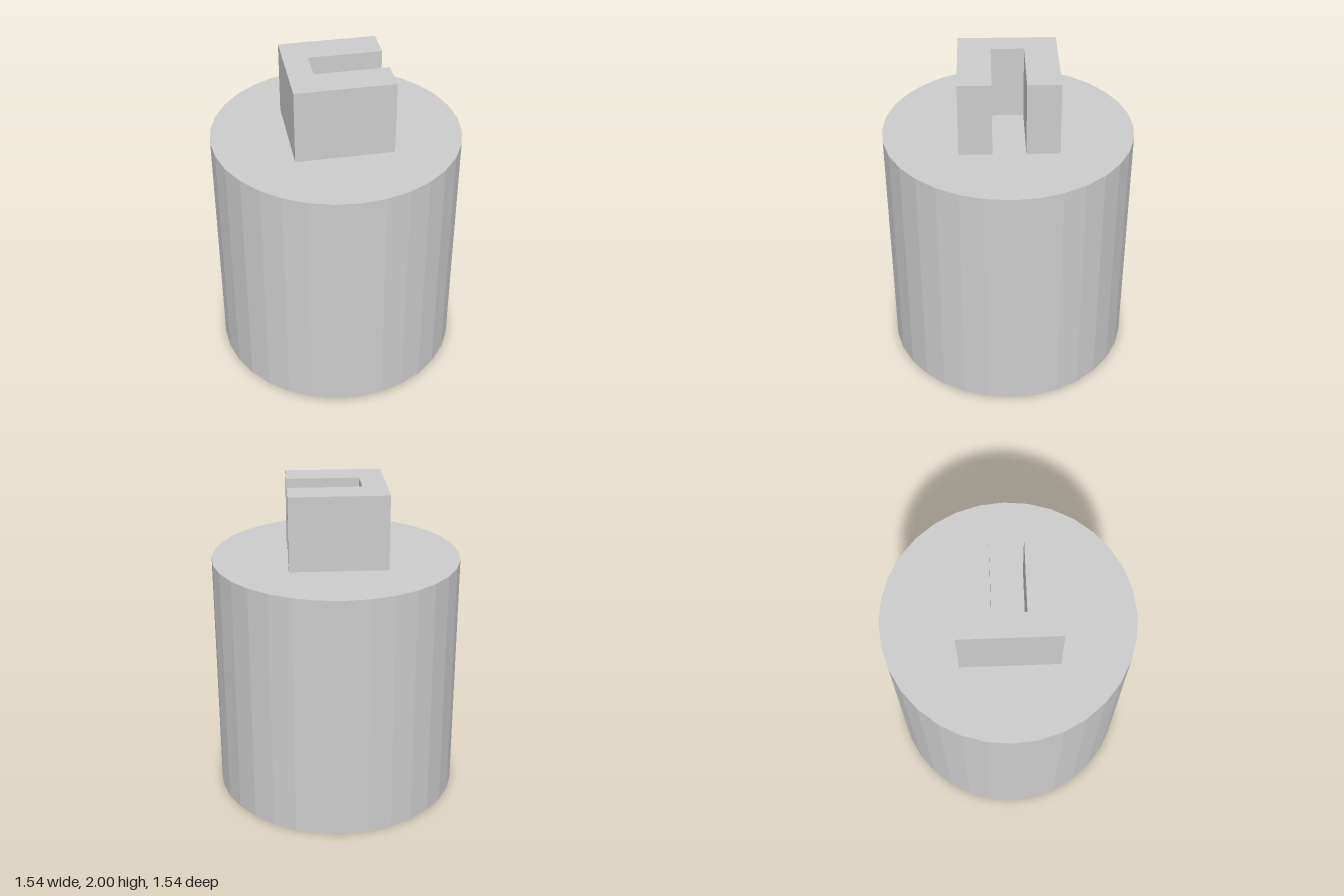
import * as THREE from 'three';

const BASE_HEIGHT = 1.54;
const TOTAL_HEIGHT = 2;

export function createModel() {
  const group = new THREE.Group();
  const material = new THREE.MeshStandardMaterial({ color: 0xcccccc, flatShading: true });

  // Faceted cylindrical body
  const body = new THREE.Mesh(new THREE.CylinderGeometry(0.77, 0.77, BASE_HEIGHT, 32), material);
  body.name = 'body';
  body.position.y = BASE_HEIGHT / 2;
  group.add(body);

  // Square block on top, with a slot open towards +x
  const outline = new THREE.Shape([
    [-0.3, -0.3], [0.3, -0.3], [0.3, -0.1], [-0.15, -0.1],
    [-0.15, 0.1], [0.3, 0.1], [0.3, 0.3], [-0.3, 0.3],
  ].map(([x, y]) => new THREE.Vector2(x, y)));
  const blockGeometry = new THREE.ExtrudeGeometry(outline, {
    depth: TOTAL_HEIGHT - BASE_HEIGHT,
    bevelEnabled: false,
  });
  blockGeometry.rotateX(-Math.PI / 2);
  const block = new THREE.Mesh(blockGeometry, material);
  block.name = 'slottedBlock';
  block.position.y = BASE_HEIGHT;
  group.add(block);

  return group;
}
